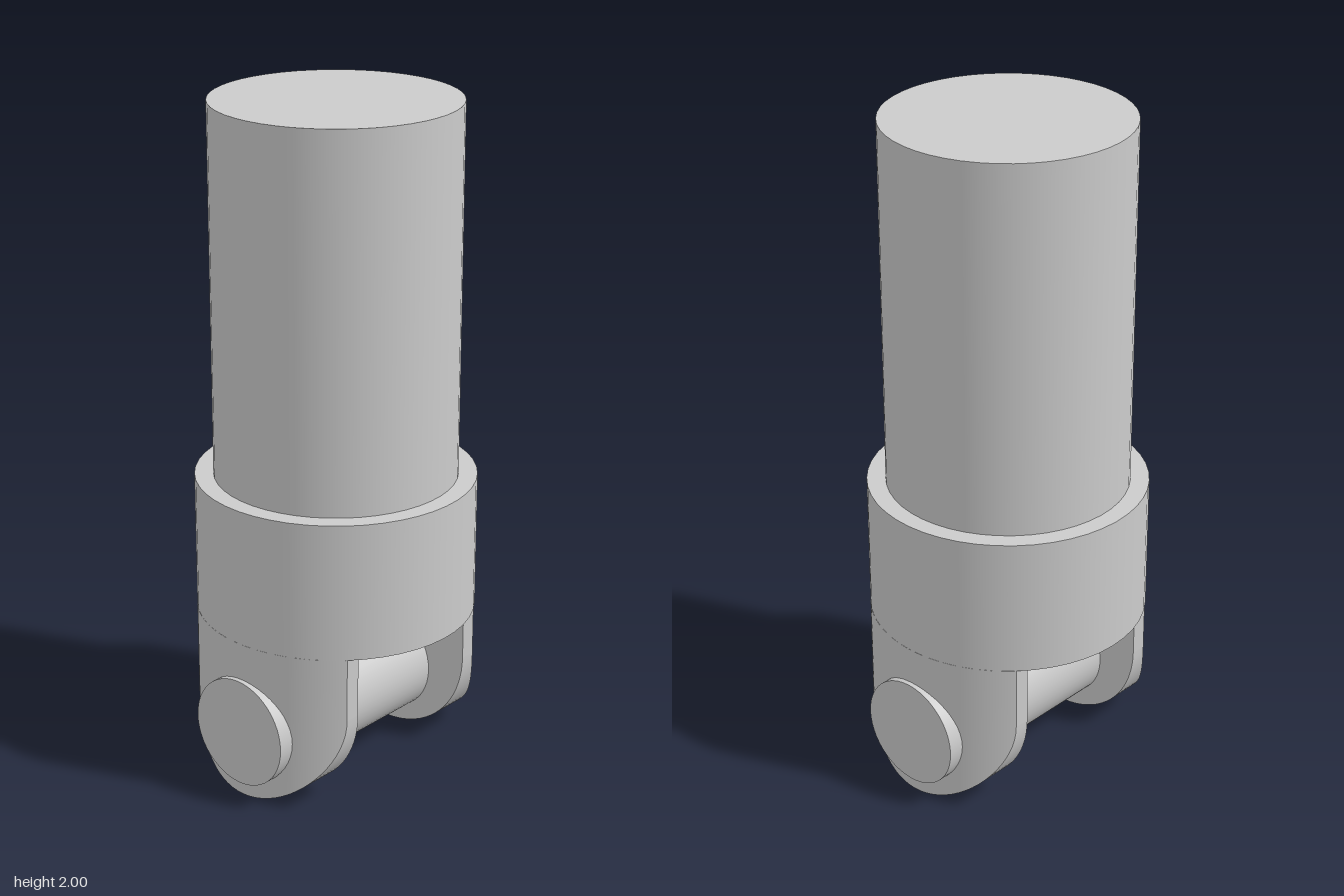
import * as THREE from 'three';

const material = new THREE.MeshStandardMaterial({ color: 0xcccccc });
const COLLAR_R = 0.412, COLLAR_Y = 0.487, EAR_R = 0.295, EAR_IN = 0.24;

// Upright cylinder between two heights
function rod(name, radius, y0, y1) {
  const mesh = new THREE.Mesh(new THREE.CylinderGeometry(radius, radius, y1 - y0, 48), material);
  mesh.position.y = (y0 + y1) / 2;
  mesh.name = name;
  return mesh;
}

// Fork ear: flat inside, follows the collar outside, rounded at the bottom
function earGeometry() {
  const geo = new THREE.BoxGeometry(1, 1, 1, 1, 1, 40);
  const p = geo.attributes.position;
  for (let i = 0; i < p.count; i++) {
    const a = p.getZ(i) * Math.PI;
    const z = EAR_R * Math.sin(a);
    const x = p.getX(i) < 0 ? EAR_IN : Math.sqrt(COLLAR_R ** 2 - z * z);
    const y = p.getY(i) > 0 ? COLLAR_Y : EAR_R * (1 - Math.cos(a));
    p.setXYZ(i, x, y, z);
  }
  geo.computeVertexNormals();
  return geo;
}

export function createModel() {
  const model = new THREE.Group();
  model.name = 'clevisRod';

  // Shaft and collar
  model.add(rod('shaft', 0.357, 0.9, 2));
  model.add(rod('collar', COLLAR_R, COLLAR_Y, 0.9));

  // Pair of ears, the second turned half way round
  const geo = earGeometry();
  ['leftEar', 'rightEar'].forEach((name, i) => {
    const ear = new THREE.Mesh(geo, material);
    ear.name = name;
    ear.rotation.y = i * Math.PI;
    model.add(ear);
  });

  // Cross pin through both ears
  const pin = rod('crossPin', 0.165, -0.427, 0.427);
  pin.rotation.z = Math.PI / 2;
  pin.position.y = 0.21;
  model.add(pin);

  return model;
}
